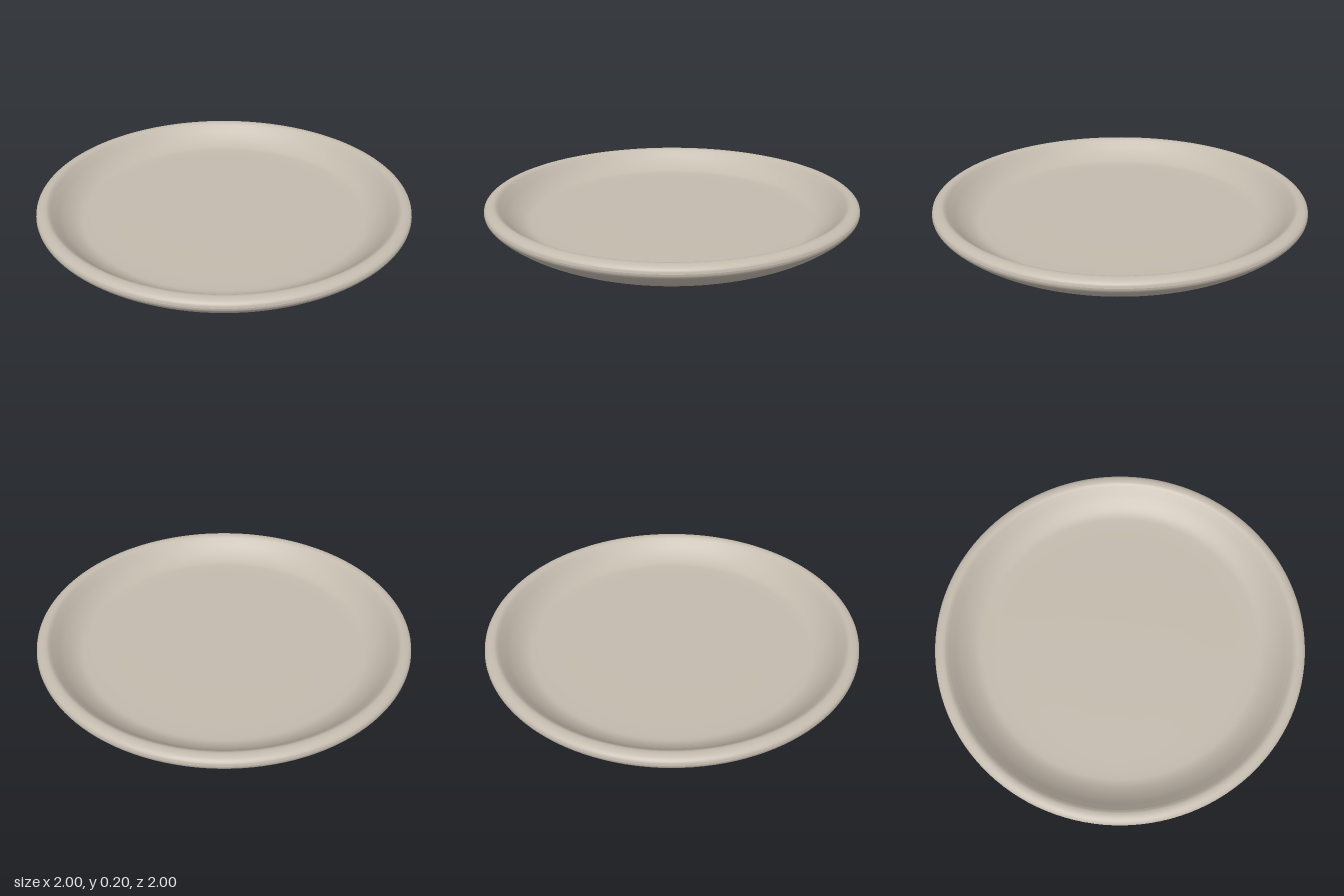
import * as THREE from 'three';

const clay = new THREE.MeshStandardMaterial({ color: 0xc4bbae });
clay.name = 'warm stoneware';

// Smooth curve through [radius, height] points, for a lathe.
function smoothProfile(points, steps) {
  const curve = new THREE.CatmullRomCurve3(
    points.map(([r, y]) => new THREE.Vector3(r, y, 0)), false, 'centripetal');
  return curve.getPoints(steps).map((p) => new THREE.Vector2(Math.max(p.x, 0), Math.max(p.y, 0)));
}

function turned(name, points, steps) {
  const mesh = new THREE.Mesh(new THREE.LatheGeometry(smoothProfile(points, steps), 128), clay);
  mesh.name = name;
  return mesh;
}

export function createModel() {
  const plate = new THREE.Group();
  plate.name = 'plate';

  // Underside: recessed base, foot ring and sloping outer wall up to the widest edge
  plate.add(turned('underside', [
    [0, 0.035], [0.35, 0.035], [0.64, 0.035], [0.69, 0.032], [0.715, 0.012],
    [0.74, 0.001], [0.765, 0.002], [0.795, 0.015], [0.86, 0.045], [0.93, 0.088],
    [0.98, 0.13], [0.997, 0.152], [1, 0.165],
  ], 72));

  // Rounded rim
  plate.add(turned('rim', [
    [1, 0.165], [0.996, 0.18], [0.982, 0.192], [0.96, 0.198], [0.942, 0.196], [0.928, 0.187],
  ], 24));

  // Inside: curved wall running down to the flat floor
  plate.add(turned('innerBowl', [
    [0.928, 0.187], [0.91, 0.17], [0.87, 0.133], [0.825, 0.102], [0.785, 0.085],
    [0.74, 0.08], [0.4, 0.08], [0, 0.08],
  ], 48));

  return plate;
}
